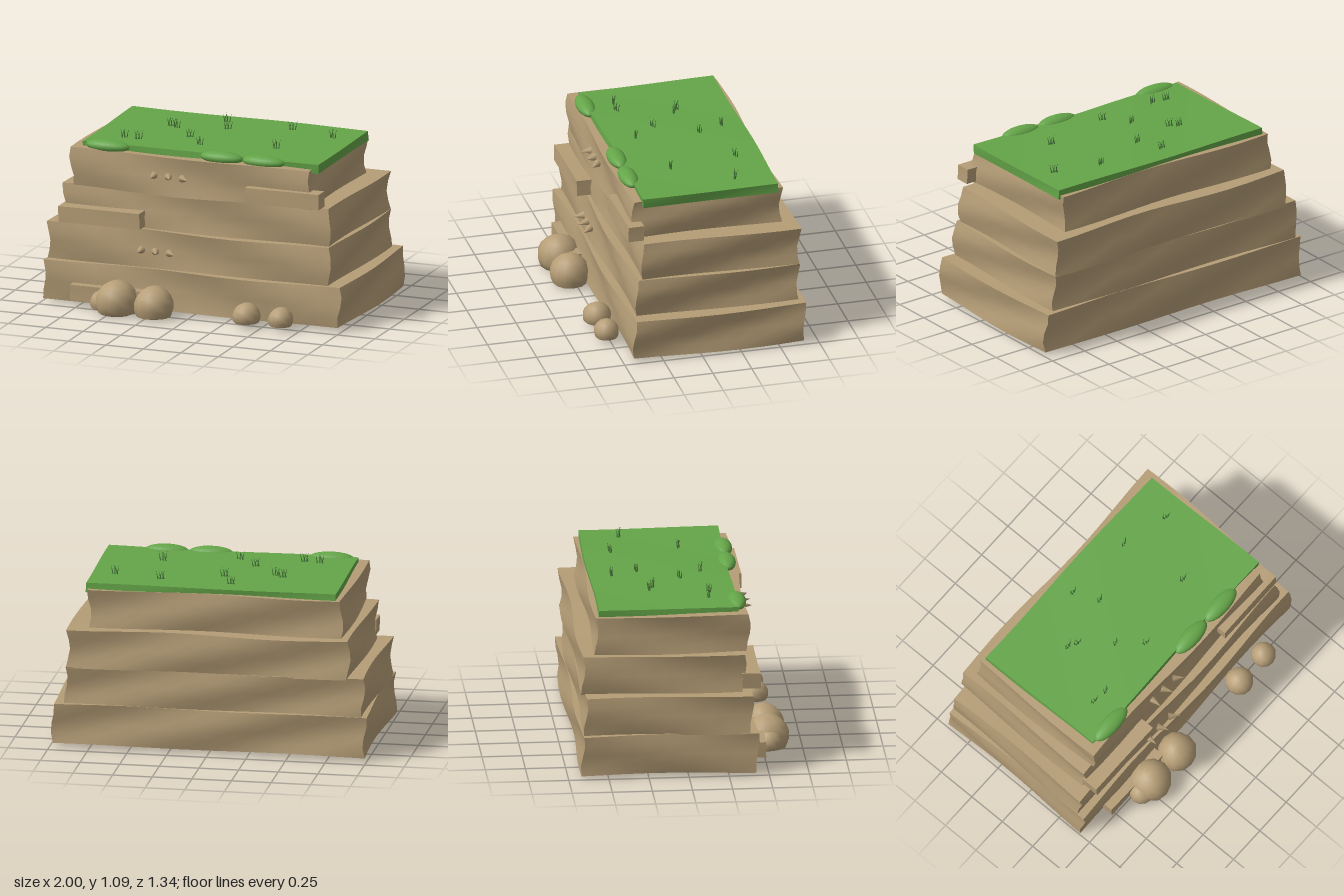
import * as THREE from 'three';
import { toCreasedNormals } from 'three/addons/utils/BufferGeometryUtils.js';

const stone = new THREE.MeshStandardMaterial({ color: 0xb59d76 });
stone.name = 'sandstone';
const grass = new THREE.MeshStandardMaterial({ color: 0x64a548 });
grass.name = 'grass green';
const blade = new THREE.MeshStandardMaterial({ color: 0x4c8040 });
blade.name = 'blade green';

// Box between two corners with gently wavy faces; edges stay sharp
function wavySlab(name, material, min, max, amp, seed) {
  const size = max.map((v, i) => v - min[i]);
  const geo = new THREE.BoxGeometry(...size, 12, 4, 8);
  geo.translate(...min.map((v, i) => (v + max[i]) / 2));
  const p = geo.attributes.position;
  for (let i = 0; i < p.count; i++) {
    const x = p.getX(i), y = p.getY(i), z = p.getZ(i);
    p.setXYZ(i,
      x + amp * Math.sin(y * 21 + z * 4 + seed * 2.1),
      y + amp * 0.35 * Math.sin(x * 5 + z * 4 + seed),
      z + amp * Math.sin(y * 19 + x * 4.5 + seed * 1.7));
  }
  geo.computeVertexNormals();
  const mesh = new THREE.Mesh(geo, material);
  mesh.name = name;
  return mesh;
}

// Lumpy ball cut flat at the ground
function boulder(x, z, r, centerY, floor, seed) {
  const geo = new THREE.SphereGeometry(r, 12, 9);
  const p = geo.attributes.position;
  for (let i = 0; i < p.count; i++) {
    const v = new THREE.Vector3().fromBufferAttribute(p, i);
    v.multiplyScalar(1 + 0.035 * Math.sin(v.x / r * 3 + seed) * Math.cos(v.z / r * 3 + seed));
    p.setXYZ(i, v.x, Math.max(v.y, floor - centerY), v.z);
  }
  const mesh = new THREE.Mesh(toCreasedNormals(geo, 0.85), stone);
  mesh.name = 'boulder';
  mesh.position.set(x, centerY, z);
  return mesh;
}

// Five splayed grass blades
function tuft(x, z, turn) {
  const group = new THREE.Group();
  group.name = 'grassTuft';
  const geo = new THREE.ConeGeometry(0.005, 0.062, 3);
  geo.translate(0, 0.031, 0);
  for (let i = 0; i < 5; i++) {
    const mesh = new THREE.Mesh(geo, blade);
    mesh.name = 'grassBlade';
    mesh.position.set((i - 2) * 0.009, 0, (i % 2) * 0.008 - 0.004);
    mesh.rotation.set((i % 3 - 1) * 0.2, 0, (i % 2 ? 1 : -1) * 0.22);
    group.add(mesh);
  }
  group.position.set(x, 1.027, z);
  group.rotation.y = turn;
  return group;
}

export function createModel() {
  const model = new THREE.Group();
  model.name = 'layeredCliff';

  // Stacked rock strata, bottom to top
  [
    [[-0.985, 0.02, -0.66], [0.985, 0.275, 0.43]],
    [[-0.97, 0.27, -0.64], [0.905, 0.515, 0.395]],
    [[-0.88, 0.51, -0.65], [0.89, 0.755, 0.355]],
    [[-0.82, 0.75, -0.565], [0.77, 0.995, 0.385]],
  ].forEach(([min, max], i) =>
    model.add(wavySlab('rockLayer', stone, min, max, 0.013, i + 1)));

  // Turf cap
  model.add(wavySlab('turf', grass, [-0.775, 0.97, -0.545], [0.8, 1.03, 0.325], 0.006, 2));

  // Ledges on the front
  [
    [-0.785, -0.3, 0.045, 0.145, 0.4, 0.5],
    [-0.88, -0.34, 0.53, 0.63, 0.34, 0.455],
    [0.36, 0.85, 0.77, 0.867, 0.338, 0.437],
  ].forEach(([x0, x1, y0, y1, z0, z1], i) =>
    model.add(wavySlab('ledge', stone, [x0, y0, z0], [x1, y1, z1], 0.003, i)));

  // Boulders at the foot
  [
    [-0.46, 0.535, 0.135, 0.08, 0],
    [-0.21, 0.535, 0.125, 0.075, 0.005],
    [-0.55, 0.54, 0.08, 0.065, 0.03],
    [0.4, 0.52, 0.09, 0.063, 0.03],
    [0.63, 0.52, 0.08, 0.065, 0.03],
  ].forEach((b, i) => model.add(boulder(...b, i)));

  // Two rows of small pointed stones set in the front
  const spike = new THREE.ConeGeometry(0.025, 0.075, 7);
  spike.rotateX(Math.PI / 2);
  [[-0.345, 0.39, 0.445], [-0.27, 0.87, 0.415]].forEach(([x, y, z]) => {
    for (let i = 0; i < 3; i++) {
      const mesh = new THREE.Mesh(spike, stone);
      mesh.name = 'pointedStone';
      mesh.position.set(x + i * 0.108, y, z);
      mesh.rotation.y = i * 0.4;
      model.add(mesh);
    }
  });

  // Mossy mounds along the front rim
  [[-0.6, 0.145], [0.16, 0.14], [0.44, 0.14]].forEach(([x, rx]) => {
    const mesh = new THREE.Mesh(new THREE.SphereGeometry(1, 18, 12), grass);
    mesh.name = 'mossMound';
    mesh.scale.set(rx, 0.04, 0.057);
    mesh.position.set(x, 1.015, 0.33);
    model.add(mesh);
  });

  // Grass tufts
  [
    [-0.1, -0.41], [0.35, -0.38], [0.65, -0.3], [-0.03, -0.25],
    [-0.39, -0.2], [-0.34, -0.17], [-0.18, 0.01], [0.41, 0.05],
    [-0.56, 0.16], [-0.46, 0.17], [-0.06, 0.15],
  ].forEach(([x, z], i) => model.add(tuft(x, z, Math.sin(i * 2.3) * 0.4)));

  return model;
}
